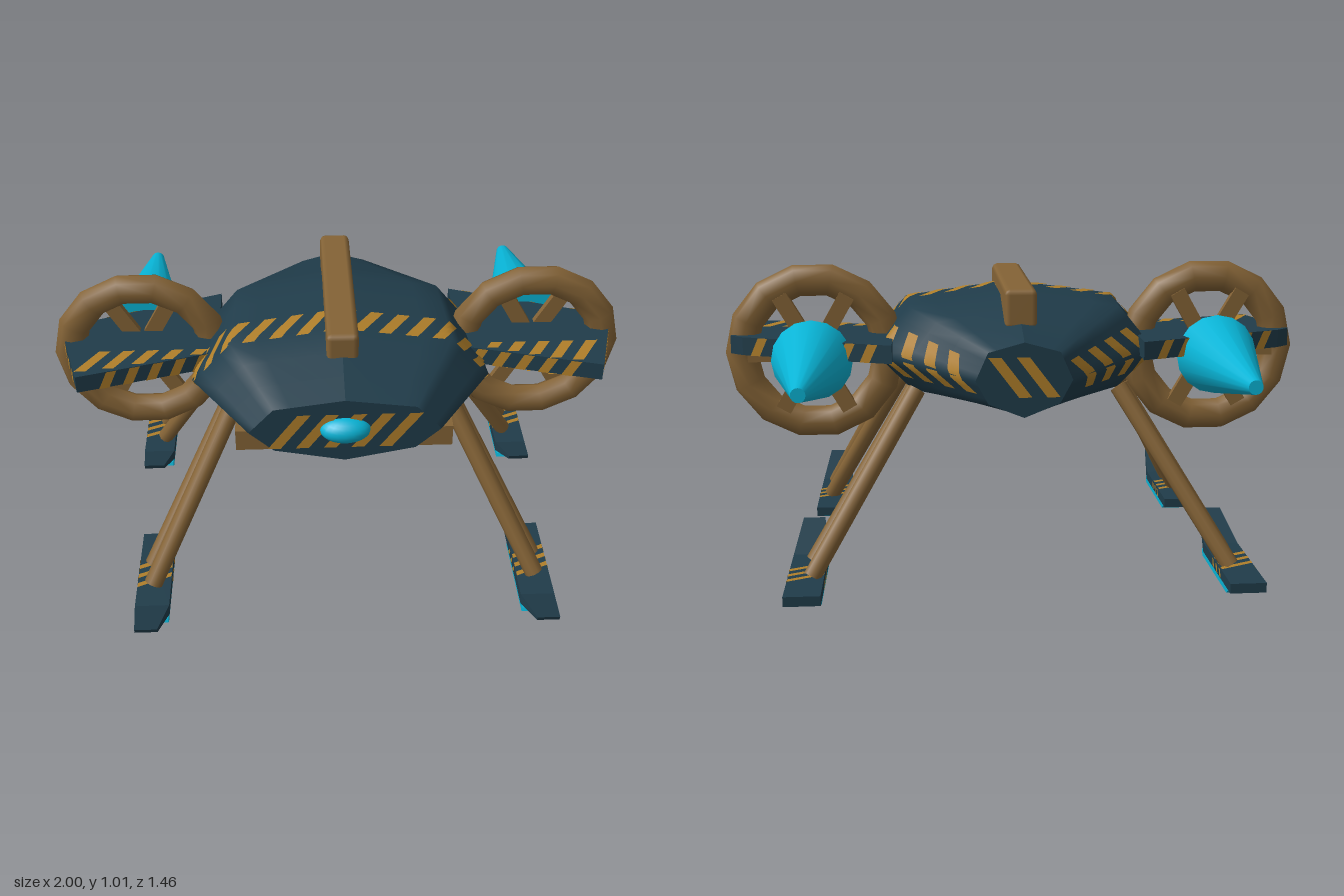
import * as THREE from 'three';
import { mergeGeometries } from 'three/addons/utils/BufferGeometryUtils.js';
import { RoundedBoxGeometry } from 'three/addons/geometries/RoundedBoxGeometry.js';

const mat = (name, color, side = THREE.FrontSide) => {
  const m = new THREE.MeshStandardMaterial({ color, side });
  m.name = name;
  return m;
};
const V = (x, y, z) => new THREE.Vector3(x, y, z);
const lerp = THREE.MathUtils.lerp;

export function createModel() {
  const hull = mat('darkTeal', 0x203c4a), brown = mat('brown', 0x846336);
  const cyan = mat('cyan', 0x08b4d6), gold = mat('goldStripe', 0xb07f2a, THREE.DoubleSide);
  const root = new THREE.Group();
  root.name = 'walkerCraft';
  const add = (parent, name, geo, m) => {
    const mesh = new THREE.Mesh(geo, m);
    mesh.name = name;
    parent.add(mesh);
    return mesh;
  };

  // Grid surface from f(u, v) with u, v in 0..1
  const surface = (f, nu, nv) => {
    const pos = [], idx = [];
    for (let i = 0; i <= nu; i++) for (let j = 0; j <= nv; j++) {
      pos.push(...f(i / nu, j / nv).toArray());
      if (i < nu && j < nv) {
        const a = i * (nv + 1) + j, b = a + nv + 1;
        idx.push(a, b, a + 1, b, b + 1, a + 1);
      }
    }
    const g = new THREE.BufferGeometry();
    g.setAttribute('position', new THREE.Float32BufferAttribute(pos, 3));
    g.setIndex(idx);
    g.computeVertexNormals();
    return g;
  };
  // Flat parallelogram from four corners
  const quad = (a, b, c, d) => surface((u, v) => a.clone().lerp(b, u).lerp(d.clone().lerp(c, u), v), 1, 1);

  // Fuselage: octagonal section lofted through stations [z, half width, half height, centre y]
  const section = [[0, 1], [0.74, 0.74], [1, 0], [0.74, -0.62], [0, -1], [-0.74, -0.62], [-1, 0], [-0.74, 0.74], [0, 1]];
  const stations = [[-0.535, 0.155, 0.122, 0.7], [-0.18, 0.48, 0.207, 0.723], [0.16, 0.505, 0.197, 0.725], [0.467, 0.31, 0.118, 0.728]];
  const bodyPoint = (t, z, grow = 0) => {
    t = ((t % 8) + 8) % 8;
    const i = Math.floor(t), f = t - i;
    const px = lerp(section[i][0], section[i + 1][0], f), py = lerp(section[i][1], section[i + 1][1], f);
    let k = 0;
    while (k < 2 && z > stations[k + 1][0]) k++;
    const [a, b] = [stations[k], stations[k + 1]], w = (z - a[0]) / (b[0] - a[0]);
    return V(px * (lerp(a[1], b[1], w) + grow), lerp(a[3], b[3], w) + py * (lerp(a[2], b[2], w) + grow), z);
  };
  const skinZ = v => {
    const k = Math.min(2, Math.floor(v * 3 + 1e-6));
    return lerp(stations[k][0], stations[k + 1][0], v * 3 - k);
  };
  add(root, 'fuselage', surface((u, v) => bodyPoint((1 - u) * 8, skinZ(v)), 32, 9), hull);
  const cap = (z, dir) => {
    const g = new THREE.ShapeGeometry(new THREE.Shape(section.slice(0, 8).map((_, i) => {
      const p = bodyPoint(i, z);
      return new THREE.Vector2(p.x * dir, p.y);
    })));
    if (dir < 0) g.rotateY(Math.PI);
    return g.translate(0, 0, z);
  };
  add(root, 'fuselageFront', cap(stations[3][0], 1), hull);
  add(root, 'fuselageBack', cap(stations[0][0], -1), hull);

  // Slanted stripes across the top and sides of the fuselage
  const bands = [];
  const arcToT = s => Math.sign(s) * (Math.abs(s) < 0.37 ? Math.abs(s) / 0.37 : 1 + (Math.abs(s) - 0.37) / 0.2);
  for (let i = -8; i <= 8; i++) {
    bands.push(surface((u, v) => bodyPoint(arcToT(i * 0.09 + (u - 0.5) * 0.042 + (0.5 - v) * 0.075), lerp(0.05, 0.17, v), 0.005), 4, 4));
  }
  // Stripes around the tail
  for (const s of [1, -1]) for (let i = 0; i < 4; i++) {
    bands.push(surface((u, v) => {
      const z = -0.465 + i * 0.085 + (u - 0.5) * 0.04 + s * (v - 0.5) * 0.07;
      return bodyPoint(s * lerp(2.55, 1.4, v), z, 0.006);
    }, 3, 5));
  }
  // Stripes on the flat ends
  const endStripe = (x, z, y0, y1) => bands.push(quad(
    V(x - 0.07, y0, z), V(x - 0.028, y0, z), V(x + 0.07, y1, z), V(x + 0.028, y1, z)));
  for (let i = -2; i <= 2; i++) endStripe(i * 0.09, 0.471, 0.665, 0.795);
  for (let i = -0.5; i <= 0.5; i++) endStripe(i * 0.09, -0.539, 0.645, 0.775);
  add(root, 'fuselageStripes', mergeGeometries(bands), gold);

  // Spine and nose
  add(root, 'spine', new RoundedBoxGeometry(0.105, 0.13, 0.7, 1, 0.018), brown).position.set(0, 0.905, -0.063);
  const nose = add(root, 'nose', new THREE.SphereGeometry(1, 20, 14), cyan);
  nose.scale.set(0.082, 0.044, 0.05);
  nose.position.set(0, 0.735, 0.467);

  // Extrude a (z, y) outline sideways, centred on x = 0
  const sideways = (pts, width) => new THREE.ExtrudeGeometry(
    new THREE.Shape(pts.map(p => new THREE.Vector2(...p))), { depth: width, bevelEnabled: false })
    .translate(0, 0, -width / 2).rotateY(-Math.PI / 2);
  const strut = (parent, a, b, r, name) => {
    const m = add(parent, name, new THREE.CylinderGeometry(r, r, a.distanceTo(b), 10), brown);
    m.position.copy(a).lerp(b, 0.5);
    m.quaternion.setFromUnitVectors(V(0, 1, 0), b.clone().sub(a).normalize());
  };

  // Ski foot with raised, narrowing toe
  const foot = (parent, x, z, s) => {
    const g = new THREE.Group();
    g.name = 'foot';
    g.position.set(x, 0, z);
    parent.add(g);
    const ski = sideways([[0.18, 0.022], [0.56, 0.022], [0.725, 0.108], [0.73, 0.125], [0.55, 0.055], [0.18, 0.055]], 0.118);
    const p = ski.attributes.position;
    for (let i = 0; i < p.count; i++) if (p.getZ(i) > 0.65) p.setX(i, p.getX(i) * 0.64);
    ski.computeVertexNormals();
    add(g, 'ski', ski, hull);
    add(g, 'sole', sideways([[0.24, 0], [0.575, 0], [0.59, 0.012], [0.585, 0.026], [0.235, 0.026], [0.23, 0.01]], 0.112), cyan);
    const st = [];
    for (let i = 0; i < 3; i++) {
      const a = 0.3 + i * 0.045, d = s * 0.025;
      st.push(quad(V(-0.058, 0.058, a + 0.025 + d), V(0.058, 0.058, a + 0.025 - d), V(0.058, 0.058, a + 0.045 - d), V(-0.058, 0.058, a + 0.045 + d)));
      for (const w of [-0.061, 0.061]) {
        st.push(quad(V(w, 0.027, a), V(w, 0.027, a + 0.018), V(w, 0.053, a + 0.032), V(w, 0.053, a + 0.014)));
      }
    }
    add(g, 'footStripes', mergeGeometries(st), gold);
  };

  for (const s of [1, -1]) {
    const side = new THREE.Group();
    side.name = s > 0 ? 'leftSide' : 'rightSide';
    side.scale.x = s;
    root.add(side);

    // Legs
    strut(side, V(0.37, 0.65, 0.205), V(0.67, 0.075, 0.46), 0.032, 'frontLeg');
    strut(side, V(0.37, 0.63, 0.09), V(0.68, 0.06, 0.345), 0.03, 'frontLeg');
    strut(side, V(0.35, 0.62, -0.27), V(0.69, 0.065, -0.4), 0.03, 'backLeg');
    strut(side, V(0.34, 0.62, -0.29), V(0.69, 0.055, -0.52), 0.03, 'backLeg');
    foot(side, 0.67, 0, s);
    foot(side, 0.71, -0.865, s);

    // Cheek fairing, leaning outward toward its top
    const cheek = sideways([[0.42, 0.625], [0.42, 0.7], [0.33, 0.705], [0.24, 0.65], [0.26, 0.63]], 0.11);
    const cp = cheek.attributes.position;
    for (let i = 0; i < cp.count; i++) if (cp.getY(i) > 0.68 && cp.getX(i) < 0) cp.setX(i, 0);
    cheek.computeVertexNormals();
    add(side, 'cheek', cheek, brown).position.x = 0.3;

    // Wing
    const outline = [[0.42, 0.065], [0.89, 0.2], [0.975, -0.1], [0.93, -0.135], [0.42, -0.325]];
    const y0 = 0.715, y1 = 0.777;
    const wing = new THREE.ExtrudeGeometry(new THREE.Shape(outline.map(([x, z]) => new THREE.Vector2(x, -z))),
      { depth: y1 - y0, bevelEnabled: false }).rotateX(-Math.PI / 2).translate(0, y0, 0);
    add(side, 'wing', wing, hull);
    const st = [];
    const front = x => Math.min(0.17, 0.078 + 0.287 * (x - 0.47));
    for (let i = 0; i < 5; i++) for (const y of [y1 + 0.003, y0 - 0.003]) {
      const x = 0.51 + i * 0.083, z1 = front(x - 0.02);
      const shift = z => s * (0.11 - z) * 0.6;
      st.push(quad(V(x - 0.02 + shift(0.05), y, 0.05), V(x + 0.02 + shift(0.05), y, 0.05),
        V(x + 0.02 + shift(z1), y, z1), V(x - 0.02 + shift(z1), y, z1)));
    }
    // Stripes on the wing edges
    for (const k of [0, 1, 3]) {
      const a = V(outline[k][0], 0, outline[k][1]), b = V(outline[k + 1][0], 0, outline[k + 1][1]);
      const len = a.distanceTo(b), dir = b.clone().sub(a).normalize(), out = V(-dir.z, 0, dir.x).multiplyScalar(0.003);
      for (let d = 0.03; d < len - 0.07; d += 0.08) {
        const at = (e, y) => a.clone().addScaledVector(dir, e).add(out).setY(y);
        const [lo, hi] = s > 0 ? [0, 0.03] : [0.03, 0];
        st.push(quad(at(d + lo, y0), at(d + lo + 0.035, y0), at(d + hi + 0.035, y1), at(d + hi, y1)));
      }
    }
    add(side, 'wingStripes', mergeGeometries(st), gold);

    // Rotor ring, hub, spokes and tail cone
    const rotor = new THREE.Group();
    rotor.name = 'rotor';
    rotor.position.set(0.69, 0.71, -0.06);
    side.add(rotor);
    add(rotor, 'ring', new THREE.TorusGeometry(0.255, 0.055, 8, 14), brown).scale.z = 0.8;
    add(rotor, 'hub', new THREE.CylinderGeometry(0.055, 0.055, 0.15, 12).rotateX(Math.PI / 2), brown).position.z = -0.055;
    for (let i = 0; i < 6; i++) {
      const a = i * Math.PI / 3;
      const spoke = add(rotor, 'spoke', new THREE.BoxGeometry(0.22, 0.055, 0.024), brown);
      spoke.position.set(Math.cos(a) * 0.12, Math.sin(a) * 0.12, -0.03);
      spoke.rotation.z = a;
    }
    add(rotor, 'tailCone', new THREE.CylinderGeometry(0.137, 0.023, 0.51, 16).rotateX(Math.PI / 2), cyan).position.z = -0.415;
  }
  return root;
}
